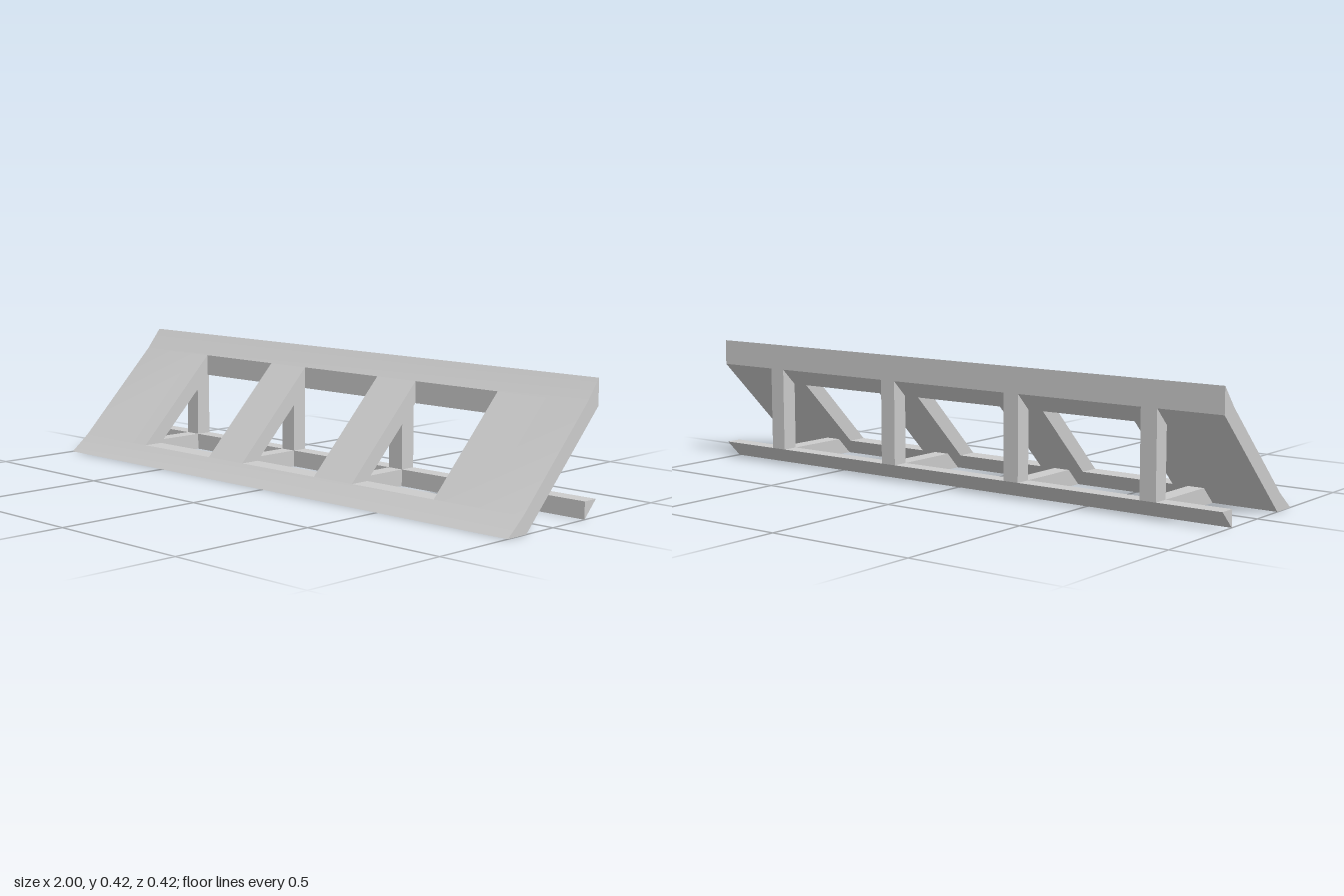
import * as THREE from 'three';
import { mergeGeometries, toCreasedNormals } from 'three/addons/utils/BufferGeometryUtils.js';

const material = new THREE.MeshStandardMaterial({ color: 0xcccccc });

// Prism along x from a [z, y] section, spanning x0 to x1
function prism(section, x0, x1) {
  const shape = new THREE.Shape(section.map(([z, y]) => new THREE.Vector2(z, y)));
  const geometry = new THREE.ExtrudeGeometry(shape, { depth: x1 - x0, bevelEnabled: false });
  return geometry.rotateY(-Math.PI / 2).translate(x1, 0, 0);
}

// Key heights and depths shared by the sections
const BACK = -0.208, INNER = -0.153, FLOOR = 0.055;
const lowerBeam = [[0.208, 0], [0.14, FLOOR], [0.07, FLOOR], [0.125, 0]];
const upperBeam = [[INNER, 0.349], [BACK, 0.417], [BACK, 0.333], [INNER, 0.278]];
const web = [[0.14, FLOOR], [INNER, 0.349], [INNER, 0.278], [0.07, FLOOR]];
const railSection = [[INNER, 0], [INNER, FLOOR], [BACK, FLOOR]];
const postSection = [[INNER, FLOOR], [INNER, 0.278], [BACK, 0.333], [BACK, FLOOR]];
const strutSection = [[0.07, FLOOR], [0.125, 0], [INNER, 0], [INNER, FLOOR]];

export function createModel() {
  const group = new THREE.Group();
  const add = (name, geometry) => {
    const mesh = new THREE.Mesh(geometry, material);
    mesh.name = name;
    group.add(mesh);
  };

  // Sloping panel: two long beams joined by webs, leaving three windows
  const webs = [[-1, -0.667], [-0.333, -0.167], [0.167, 0.333], [0.667, 1]];
  const parts = [prism(lowerBeam, -1, 1), prism(upperBeam, -1, 1)];
  for (const [x0, x1] of webs) parts.push(prism(web, x0, x1));
  add('slopingPanel', toCreasedNormals(mergeGeometries(parts), 0.4));

  // Chamfered rail along the lower back corner
  add('backRail', prism(railSection, -1, 1));

  // Four frames, each an upright post and a floor strut
  const half = 0.028;
  for (const x of [-0.75, -0.25, 0.25, 0.75]) {
    add('post', prism(postSection, x - half, x + half));
    add('floorStrut', prism(strutSection, x - half, x + half));
  }
  return group;
}
